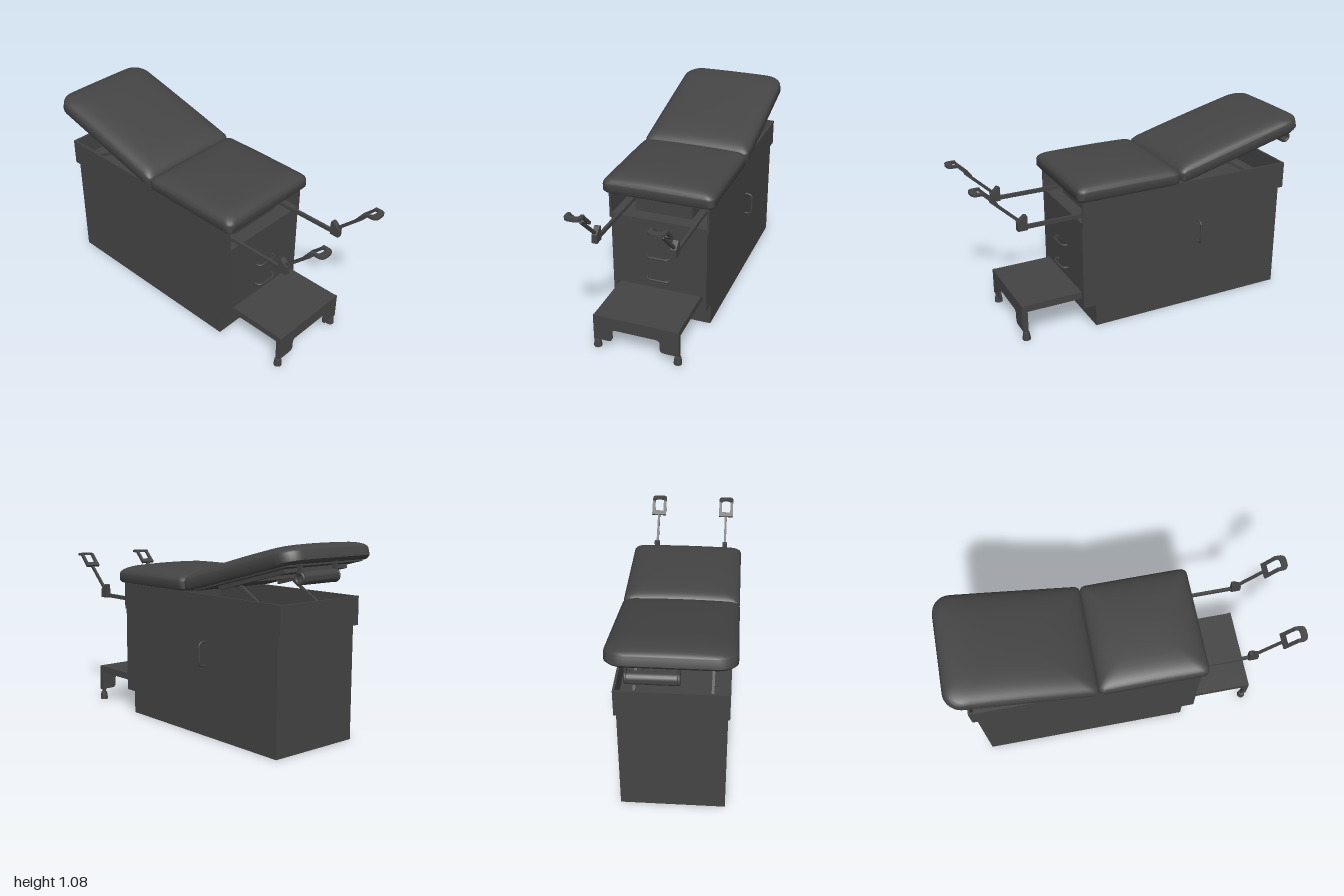
import * as THREE from 'three';
import { toCreasedNormals } from 'three/addons/utils/BufferGeometryUtils.js';

const mat = new THREE.MeshStandardMaterial({ color: 0x444444, side: THREE.DoubleSide });

function add(parent, name, geo) {
  const m = new THREE.Mesh(geo, mat);
  m.name = name;
  parent.add(m);
  return m;
}

// box given by its min and max on each axis
function box(parent, name, x0, x1, y0, y1, z0, z1) {
  const m = add(parent, name, new THREE.BoxGeometry(x1 - x0, y1 - y0, z1 - z0));
  m.position.set((x0 + x1) / 2, (y0 + y1) / 2, (z0 + z1) / 2);
  return m;
}

// square bar between two points in a plane of constant x
function bar(parent, name, x, [z0, y0], [z1, y1], w, t) {
  const m = add(parent, name, new THREE.BoxGeometry(w, t, Math.hypot(z1 - z0, y1 - y0)));
  m.position.set(x, (y0 + y1) / 2, (z0 + z1) / 2);
  m.rotation.x = -Math.atan2(y1 - y0, z1 - z0);
  return m;
}

function polygon(pts) {
  return new THREE.Shape(pts.map(([x, y]) => new THREE.Vector2(x, y)));
}

function extrude(shape, depth) {
  return new THREE.ExtrudeGeometry(shape, { depth, bevelEnabled: false, curveSegments: 8 });
}

// domed cushion: rings of a rounded rectangle, rFront / rBack are corner radii
function cushion(hx, hz, rFront, rBack, edge, height) {
  const s = new THREE.Shape(), H = Math.PI / 2;
  s.absarc(hx - rBack, hz - rBack, rBack, 0, H);
  s.absarc(-hx + rBack, hz - rBack, rBack, H, 2 * H);
  s.absarc(-hx + rFront, -hz + rFront, rFront, 2 * H, 3 * H);
  s.absarc(hx - rFront, -hz + rFront, rFront, 3 * H, 4 * H);
  s.closePath();
  const outline = s.getSpacedPoints(140).slice(0, -1), n = outline.length;
  const rings = [[0, 0], [0.97, 0], [1, 0.012], [1, edge]];
  for (const k of [0.997, 0.99, 0.98, 0.96, 0.93, 0.89, 0.84, 0.77, 0.68, 0.55, 0.4, 0.2, 0]) rings.push([k, -1]);
  const pos = [], idx = [];
  rings.forEach(([k, y], i) => outline.forEach((p, j) => {
    const u = p.x * k / hx, v = p.y * k / hz;
    const dome = Math.sqrt(1 - k ** 6) * (1 - 0.16 * u * u) * (1 - 0.12 * v * v);
    pos.push(p.x * k, y < 0 ? edge + (height - edge) * dome : y, -p.y * k);
    if (i < rings.length - 1) {
      const a = i * n + j, b = i * n + (j + 1) % n;
      idx.push(a, b, a + n, b, b + n, a + n);
    }
  }));
  const g = new THREE.BufferGeometry();
  g.setAttribute('position', new THREE.Float32BufferAttribute(pos, 3));
  g.setIndex(idx);
  return toCreasedNormals(g, 0.8);
}

// bent round handle: foot points +-w along the first axis, standing out by d
function handleGeometry(w, d, r) {
  const c = 0.028, V = (x, z) => new THREE.Vector3(x, 0, z), path = new THREE.CurvePath();
  path.add(new THREE.LineCurve3(V(-w, 0), V(-w, d - c)));
  path.add(new THREE.QuadraticBezierCurve3(V(-w, d - c), V(-w, d), V(-w + c, d)));
  path.add(new THREE.LineCurve3(V(-w + c, d), V(w - c, d)));
  path.add(new THREE.QuadraticBezierCurve3(V(w - c, d), V(w, d), V(w, d - c)));
  path.add(new THREE.LineCurve3(V(w, d - c), V(w, 0)));
  return new THREE.TubeGeometry(path, 48, r, 10);
}

function buildCabinet(root) {
  const g = new THREE.Group();
  g.name = 'cabinet';
  root.add(g);
  box(g, 'cabinetBody', -0.281, 0.281, 0, 0.64, -0.875, 0.335);
  // front with a notch for the sliding step
  add(g, 'drawerFront', extrude(polygon([[-0.281, 0.13], [-0.257, 0.13], [-0.257, 0.223], [0.257, 0.223],
    [0.257, 0.13], [0.281, 0.13], [0.281, 0.655], [-0.281, 0.655]]), 0.075)).position.z = 0.335;
  // open tray on top
  box(g, 'trayFloor', -0.291, 0.291, 0.63, 0.655, -0.9, 0.405);
  for (const s of [-1, 1]) box(g, 'traySide', s * 0.285 - 0.006, s * 0.285 + 0.006, 0.63, 0.785, -0.9, 0.41);
  box(g, 'trayBack', -0.291, 0.291, 0.63, 0.785, -0.9, -0.888);
  box(g, 'seatBoard', -0.28, 0.28, 0.782, 0.795, -0.18, 0.41);
  box(g, 'frontRail', -0.24, 0.24, 0.757, 0.785, 0.36, 0.38);
  box(g, 'innerPanel', -0.28, 0.28, 0.655, 0.785, 0.18, 0.19);
  box(g, 'innerDrawer', -0.167, 0.167, 0.655, 0.735, 0.19, 0.33);
  for (const y of [0.292, 0.435]) add(g, 'drawerHandle', handleGeometry(0.068, 0.035, 0.006)).position.set(0, y, 0.407);
  const side = add(g, 'sideHandle', handleGeometry(0.066, 0.041, 0.006));
  side.rotation.set(0, Math.PI / 2, Math.PI / 2, 'YXZ');
  side.position.set(0.28, 0.46, -0.32);
}

function buildStep(root) {
  const g = new THREE.Group();
  g.name = 'step';
  root.add(g);
  box(g, 'stepTread', -0.245, 0.245, 0.205, 0.215, 0.336, 0.762);
  for (const s of [-1, 1]) box(g, 'stepSide', s * 0.24 - 0.005, s * 0.24 + 0.005, 0.175, 0.21, 0.336, 0.76);
  // front panel with an arched cutout
  const p = new THREE.Shape();
  p.moveTo(-0.248, 0.215);
  p.lineTo(-0.248, 0.06);
  p.lineTo(-0.165, 0.06);
  p.quadraticCurveTo(-0.14, 0.06, -0.14, 0.085);
  p.lineTo(-0.14, 0.115);
  p.quadraticCurveTo(-0.14, 0.138, -0.115, 0.138);
  p.lineTo(0.115, 0.138);
  p.quadraticCurveTo(0.14, 0.138, 0.14, 0.115);
  p.lineTo(0.14, 0.085);
  p.quadraticCurveTo(0.14, 0.06, 0.165, 0.06);
  p.lineTo(0.248, 0.06);
  p.lineTo(0.248, 0.215);
  add(g, 'stepFrontPanel', extrude(p, 0.012)).position.z = 0.752;
  const foot = [[0, 0], [0.023, 0], [0.023, 0.01], [0.018, 0.045], [0.011, 0.047], [0.011, 0.1], [0, 0.1]];
  for (const s of [-1, 1]) {
    box(g, 'stepLeg', s * 0.237 - 0.011, s * 0.237 + 0.011, 0.06, 0.21, 0.732, 0.754);
    const f = add(g, 'stepFoot', toCreasedNormals(new THREE.LatheGeometry(foot.map(([x, y]) => new THREE.Vector2(x, y)), 20), 0.6));
    f.position.set(s * 0.236, 0, 0.742);
  }
}

function buildStirrup(root, x) {
  const g = new THREE.Group();
  g.name = 'stirrup';
  g.position.x = x;
  root.add(g);
  box(g, 'stirrupRail', -0.008, 0.008, 0.664, 0.686, 0.19, 0.72);
  // swivel block, profile in z and y
  const block = extrude(polygon([[0.7, 0.66], [0.755, 0.66], [0.755, 0.71], [0.74, 0.722], [0.714, 0.745], [0.7, 0.74]]), 0.03);
  block.rotateY(-Math.PI / 2);
  add(g, 'swivelBlock', block).position.x = 0.015;
  bar(g, 'stirrupArm', 0, [0.72, 0.695], [0.89, 0.858], 0.014, 0.016);
  // foot loop: sloping sides, lower crossbar and a rounded heel
  bar(g, 'loopCrossbar', 0, [0.868, 0.848], [0.888, 0.868], 0.09, 0.016);
  for (const s of [-1, 1]) bar(g, 'loopSide', s * 0.036, [0.87, 0.85], [0.94, 0.921], 0.018, 0.014);
  const heel = new THREE.Shape();
  heel.moveTo(-0.045, 0.93);
  heel.lineTo(-0.027, 0.93);
  heel.lineTo(-0.027, 0.945);
  heel.quadraticCurveTo(-0.027, 0.96, 0, 0.96);
  heel.quadraticCurveTo(0.027, 0.96, 0.027, 0.945);
  heel.lineTo(0.027, 0.93);
  heel.lineTo(0.045, 0.93);
  heel.lineTo(0.045, 0.96);
  heel.quadraticCurveTo(0.045, 0.995, 0.012, 0.995);
  heel.lineTo(-0.012, 0.995);
  heel.quadraticCurveTo(-0.045, 0.995, -0.045, 0.96);
  add(g, 'loopHeel', extrude(heel, 0.014).rotateX(Math.PI / 2)).position.y = 0.926;
}

function buildBackrest(root) {
  const g = new THREE.Group();
  g.name = 'backrest';
  g.position.set(0, 0.79, -0.19);
  g.rotation.x = 0.253;
  root.add(g);
  add(g, 'backCushion', cushion(0.322, 0.415, 0.03, 0.1, 0.05, 0.115)).position.z = -0.415;
  box(g, 'backBoard', -0.28, 0.28, -0.008, 0.002, -0.76, -0.04);
  for (const s of [-1, 1]) box(g, 'backRail', s * 0.22 - 0.012, s * 0.22 + 0.012, -0.03, 0, -0.69, -0.19);
  for (const z of [-0.69, -0.42]) box(g, 'backCrossRail', -0.22, 0.22, -0.028, 0, z, z + 0.025);
  // struts down to the tray
  for (const s of [-1, 1]) bar(root, 'supportStrut', s * 0.2, [-0.49, 0.855], [-0.82, 0.665], 0.014, 0.014);
  // hollow paper roll on two hanging rings
  const ring = [[0.018, -0.12], [0.033, -0.12], [0.033, 0.12], [0.018, 0.12], [0.018, -0.12]];
  const roll = add(root, 'paperRoll', toCreasedNormals(new THREE.LatheGeometry(ring.map(([x, y]) => new THREE.Vector2(x, y)), 28), 0.6));
  roll.rotation.z = Math.PI / 2;
  roll.position.set(0.085, 0.915, -0.95);
  for (const x of [-0.042, 0.212]) {
    const t = add(root, 'rollRing', new THREE.TorusGeometry(0.026, 0.008, 8, 24));
    t.rotation.y = Math.PI / 2;
    t.position.set(x, 0.915, -0.95);
    box(root, 'rollBracket', x - 0.006, x + 0.006, 0.94, 1.0, -0.96, -0.935);
  }
}

export function createModel() {
  const root = new THREE.Group();
  root.name = 'examinationTable';
  buildCabinet(root);
  buildStep(root);
  for (const s of [-1, 1]) buildStirrup(root, s * 0.218);
  add(root, 'seatCushion', cushion(0.322, 0.31, 0.035, 0.03, 0.048, 0.114)).position.set(0, 0.79, 0.131);
  buildBackrest(root);
  for (const part of root.children) part.position.x -= 0.003;
  return root;
}
